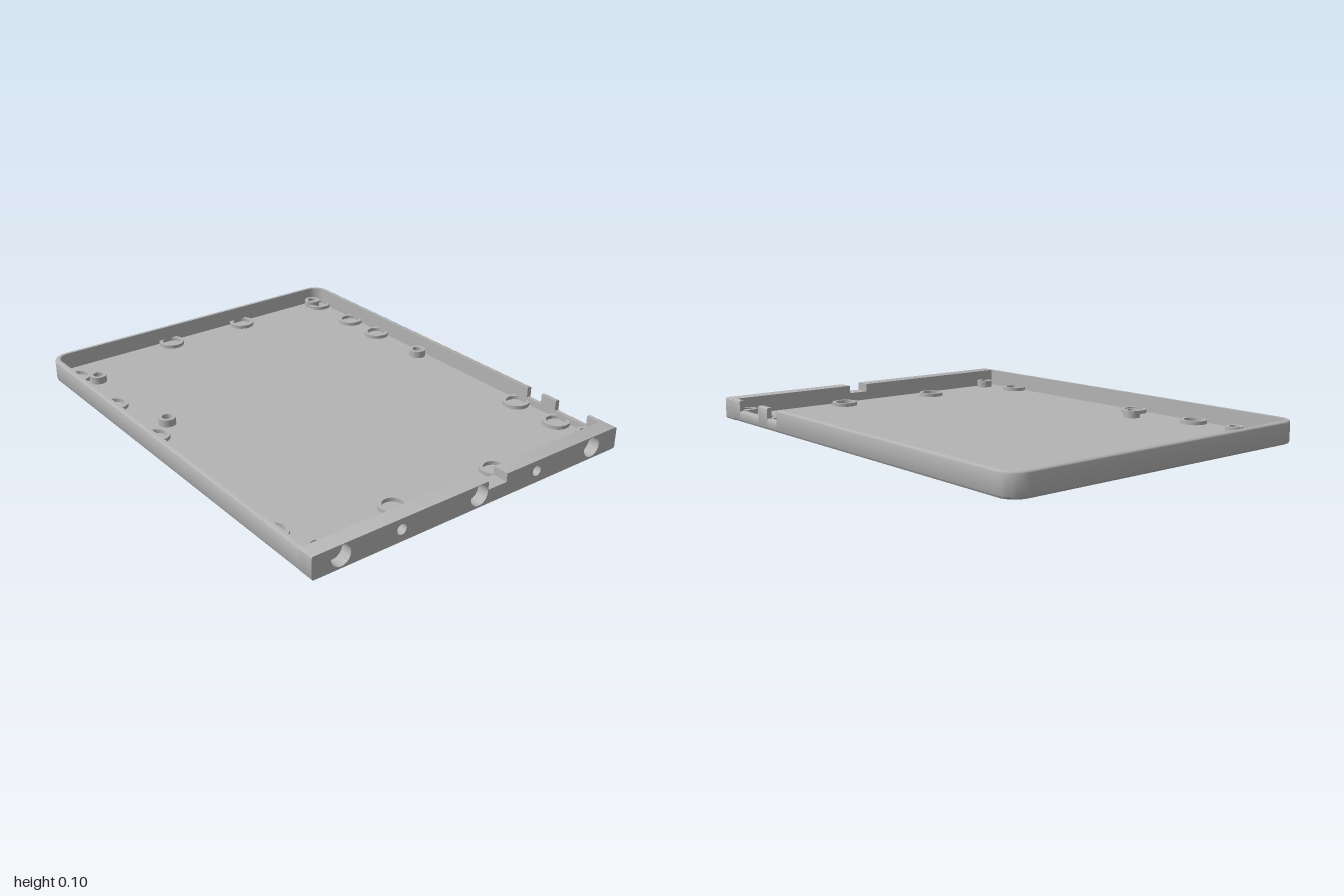
import * as THREE from 'three';
import { toCreasedNormals } from 'three/addons/utils/BufferGeometryUtils.js';

const W = 0.764, H = 0.096, FLOOR = 0.02, WALL = 0.022, CORNER = 0.08, BAR_X = 0.93, R = 0.01;
const grey = new THREE.MeshStandardMaterial({ color: 0xb4b4b4 });
grey.name = 'grey';

function add(group, name, geometry) {
  const mesh = new THREE.Mesh(geometry, grey);
  mesh.name = name;
  group.add(mesh);
  return mesh;
}

// Stations around the three-sided rim: position, outward normal, wall height
function rimStations() {
  const list = [{ x: BAR_X, z: W, nx: 0, nz: 1, h: H }];
  for (const [cz, start] of [[W - CORNER, 0], [CORNER - W, 1]]) {
    for (let i = 0; i <= 10; i++) {
      const a = (start + i / 10) * Math.PI / 2;
      const nx = -Math.sin(a), nz = Math.cos(a);
      list.push({ x: -1 + CORNER + nx * CORNER, z: cz + nz * CORNER, nx, nz, h: H });
    }
  }
  // Cut-outs in the back wall, each edge being a doubled station
  const back = (x, h) => list.push({ x, z: -W, nx: 0, nz: -1, h });
  for (const [from, to] of [[0.535, 0.615], [0.695, 0.865]]) {
    back(from, H); back(from, 0.05); back(to, 0.05); back(to, H);
  }
  back(BAR_X, H);
  return list;
}

// Wall cross-section, from the underside up the outside and down the inside
const section = h => [
  [R, 0], [R * 0.3, R * 0.3], [0, R], [0, h - R * 0.8], [R * 0.25, h - R * 0.25],
  [R * 0.8, h], [WALL, h], [WALL, FLOOR],
];

function wallGeometry(stations) {
  const pos = [], index = [], n = section(H).length;
  for (const s of stations) {
    for (const [inset, y] of section(s.h)) pos.push(s.x - s.nx * inset, y, s.z - s.nz * inset);
  }
  for (let i = 0; i < stations.length - 1; i++) {
    for (let j = 0; j < n - 1; j++) {
      const a = i * n + j, b = a + n;
      index.push(a, a + 1, b + 1, a, b + 1, b);
    }
  }
  const g = new THREE.BufferGeometry();
  g.setAttribute('position', new THREE.Float32BufferAttribute(pos, 3));
  g.setIndex(index);
  return toCreasedNormals(g, 0.9);
}

// Flat sheet filling the rim outline at a given inset
function sheet(stations, inset, y, up) {
  const pts = stations.map(s => new THREE.Vector2(s.x - s.nx * inset, (s.z - s.nz * inset) * (up ? -1 : 1)));
  const unique = pts.filter((p, i) => i === 0 || p.distanceTo(pts[i - 1]) > 1e-6);
  return new THREE.ShapeGeometry(new THREE.Shape(unique)).rotateX(up ? -Math.PI / 2 : Math.PI / 2).translate(0, y, 0);
}

// End bar profile, drawn across the width with the top notch
function barShape() {
  const s = new THREE.Shape();
  s.moveTo(-W + R, 0);
  s.lineTo(W - R, 0);
  s.quadraticCurveTo(W, 0, W, R);
  s.lineTo(W, H - R);
  s.quadraticCurveTo(W, H, W - R, H);
  s.lineTo(0.145, H);
  s.lineTo(0.145, 0.06);
  s.lineTo(0.05, 0.06);
  s.lineTo(0.05, H);
  s.lineTo(-W + R, H);
  s.quadraticCurveTo(-W, H, -W, H - R);
  s.lineTo(-W, R);
  s.quadraticCurveTo(-W, 0, -W + R, 0);
  return s;
}

function barSlice(shape, x, depth) {
  const g = new THREE.ExtrudeGeometry(shape, { depth, bevelEnabled: false, curveSegments: 24 });
  return toCreasedNormals(g.rotateY(Math.PI / 2).translate(x, 0, 0), 0.6);
}

// Upright ring on the floor, trimmed where it meets the walls
function ring(x, z, outer, inner, height) {
  const s = new THREE.Shape().absarc(x, -z, outer, 0, Math.PI * 2);
  s.holes.push(new THREE.Path().absarc(x, -z, inner, 0, Math.PI * 2, true));
  const g = new THREE.ExtrudeGeometry(s, { depth: height, bevelEnabled: false, curveSegments: 28 });
  g.rotateX(-Math.PI / 2).translate(0, FLOOR, 0);
  const p = g.attributes.position;
  for (let i = 0; i < p.count; i++) {
    p.setX(i, Math.max(p.getX(i), -0.985));
    p.setZ(i, THREE.MathUtils.clamp(p.getZ(i), -W + 0.015, W - 0.015));
  }
  return toCreasedNormals(g, 0.6);
}

export function createModel() {
  const model = new THREE.Group();
  model.name = 'tray';

  const stations = rimStations();
  add(model, 'rimWall', wallGeometry(stations));
  add(model, 'floorTop', sheet(stations, WALL, FLOOR, true));
  add(model, 'underside', sheet(stations, R, 0, false));

  // End bar: solid inner slice, then an outer slice with blind holes
  const bar = new THREE.Group();
  bar.name = 'endBar';
  model.add(bar);
  add(bar, 'barInner', barSlice(barShape(), BAR_X, 0.02));
  const drilled = barShape();
  for (const [c, r] of [[-0.64, 0.043], [0.005, 0.043], [0.62, 0.043], [-0.37, 0.022], [0.308, 0.022]]) {
    drilled.holes.push(new THREE.Path().absarc(c, 0.051, r, 0, Math.PI * 2, true));
  }
  add(bar, 'barOuter', barSlice(drilled, BAR_X + 0.02, 0.05));

  // Low wide rings
  const wide = [
    [-0.91, -0.705], [-0.645, -0.705], [-0.44, -0.705], [0.507, -0.705], [0.737, -0.705],
    [0.86, -0.22], [0.833, 0.27], [0.71, 0.715], [-0.155, 0.695], [-0.51, 0.695],
    [-0.86, 0.695], [-0.942, 0.16], [-0.942, -0.245],
  ];
  for (const [x, z] of wide) add(model, 'floorRing', ring(x, z, 0.058, 0.042, 0.016));

  // Taller narrow bosses
  const narrow = [
    [-0.935, -0.68], [-0.133, -0.702], [0.892, -0.705], [0.892, 0.663], [-0.237, 0.595], [-0.78, 0.635],
  ];
  for (const [x, z] of narrow) add(model, 'screwBoss', ring(x, z, 0.037, 0.022, 0.032));

  return model;
}
